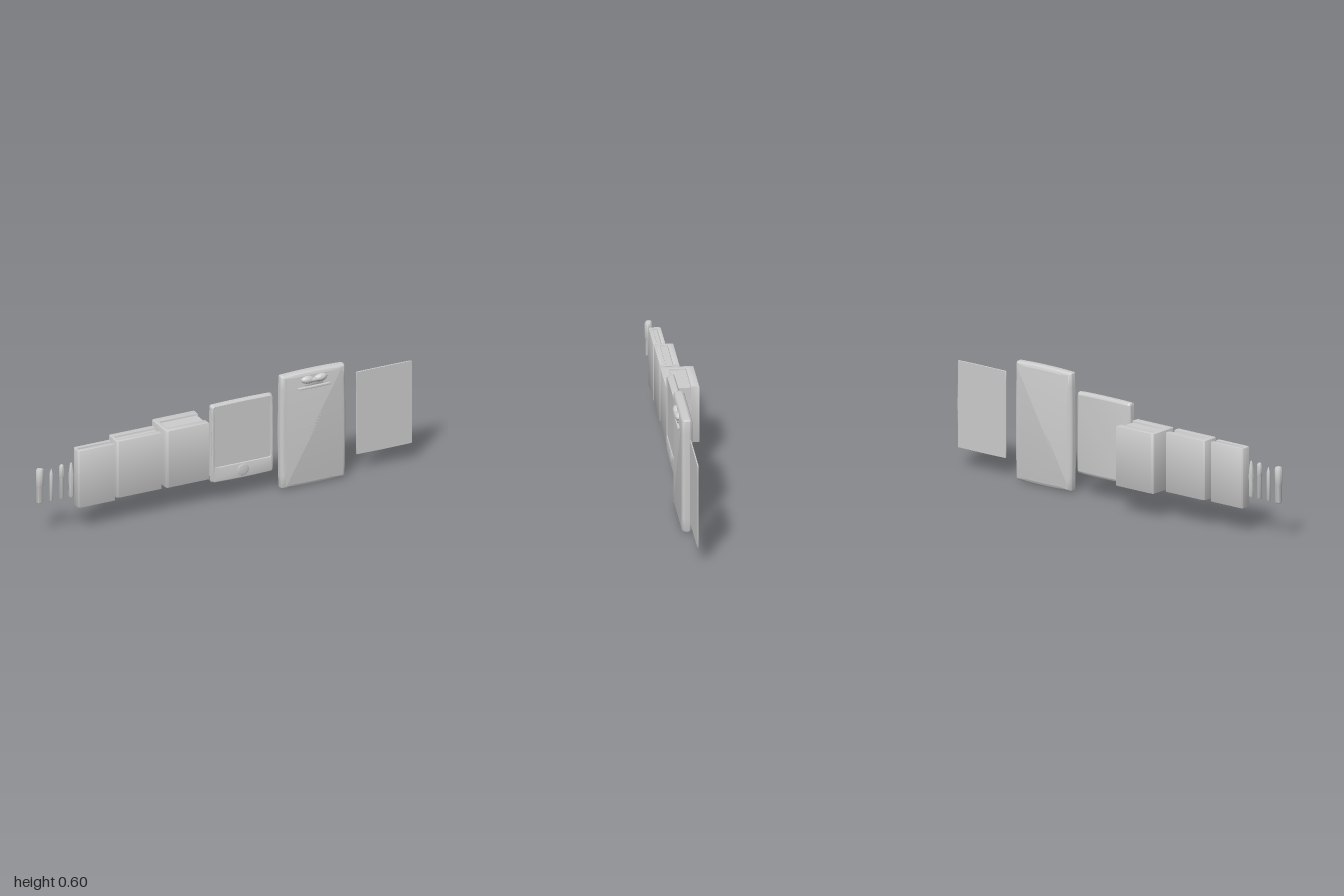
import * as THREE from 'three';
import { toCreasedNormals } from 'three/addons/utils/BufferGeometryUtils.js';

const material = new THREE.MeshStandardMaterial({ color: 0xcccccc, side: THREE.DoubleSide });

function add(group, name, geometry, x = 0, y = 0, z = 0) {
  const mesh = new THREE.Mesh(geometry, material);
  mesh.name = name;
  mesh.position.set(x, y, z);
  group.add(mesh);
  return mesh;
}

// Rectangle with rounded corners and slightly bowed sides
function outline(w, h, r, bow = 0, target = new THREE.Shape()) {
  const a = w / 2, b = h / 2, c = 2 * bow;
  target.moveTo(-a + r, -b);
  target.quadraticCurveTo(0, -b - c, a - r, -b);
  target.quadraticCurveTo(a, -b, a, -b + r);
  target.quadraticCurveTo(a + c, 0, a, b - r);
  target.quadraticCurveTo(a, b, a - r, b);
  target.quadraticCurveTo(0, b + c, -a + r, b);
  target.quadraticCurveTo(-a, b, -a, b - r);
  target.quadraticCurveTo(-a - c, 0, -a, -b + r);
  target.quadraticCurveTo(-a, -b, -a + r, -b);
  return target;
}

// Extrusion centred on z, with overall depth d including its bevel
function extrude(shape, d, bevel, segments = 4, thickness = bevel) {
  const g = new THREE.ExtrudeGeometry(shape, {
    depth: d - 2 * thickness, bevelEnabled: bevel > 0, bevelSize: bevel, bevelOffset: -bevel,
    bevelThickness: thickness, bevelSegments: segments, curveSegments: 10,
  });
  g.translate(0, 0, -d / 2 + thickness);
  return toCreasedNormals(g, 0.7);
}

// Book: U-shaped cover open toward +x around an inset page block
function book(name, x0, x1, y0, y1, z0, z1, t) {
  const group = new THREE.Group();
  group.name = name;
  const w = x1 - x0, h = y1 - y0, d = z1 - z0, a = w / 2, b = d / 2, r = 0.016, i = t * 0.6;
  const s = new THREE.Shape();
  s.moveTo(a, -b);
  s.lineTo(-a + r, -b);
  s.quadraticCurveTo(-a, -b, -a, -b + r);
  s.lineTo(-a, b - r);
  s.quadraticCurveTo(-a, b, -a + r, b);
  s.lineTo(a, b);
  s.lineTo(a, b - t);
  s.lineTo(-a + i, b - t);
  s.lineTo(-a + i, -b + t);
  s.lineTo(a, -b + t);
  s.closePath();
  add(group, 'cover', extrude(s, h, 0.004, 2).rotateX(-Math.PI / 2));
  add(group, 'pages', new THREE.BoxGeometry(w - i - 0.002, h - 0.02, d - 2 * t + 0.002),
    (i - 0.006) / 2, 0, 0);
  group.position.set((x0 + x1) / 2, (y0 + y1) / 2, (z0 + z1) / 2);
  return group;
}

// Pen: lathe profile of [radius, y] with an optional pocket clip
function pen(name, x, profile, clip) {
  const group = new THREE.Group();
  group.name = name;
  const pts = profile.map(([r, y]) => new THREE.Vector2(r, y));
  add(group, 'barrel', toCreasedNormals(new THREE.LatheGeometry(pts, 20), 0.7));
  if (clip) {
    const [r, y, len, size] = clip;
    const arm = extrude(outline(size, len, size * 0.3), size, size * 0.25, 2);
    add(group, 'pocketClip', arm, r, y, 0);
  }
  group.position.set(x, 0.185, 0.04);
  return group;
}

function createModel() {
  const model = new THREE.Group();

  // Writing tools
  model.add(
    pen('marker', -0.982, [[0, 0], [0.012, 0], [0.016, 0.005], [0.017, 0.09], [0.018, 0.092],
      [0.018, 0.17], [0.014, 0.178], [0, 0.18]], [0.015, 0.145, 0.06, 0.01]),
    pen('pencil', -0.92, [[0, 0], [0.007, 0], [0.009, 0.004], [0.009, 0.14], [0.003, 0.162], [0, 0.17]]),
    pen('ballpoint', -0.865, [[0, 0], [0.009, 0], [0.012, 0.005], [0.012, 0.115], [0.013, 0.117],
      [0.012, 0.165], [0.008, 0.176], [0, 0.178]], [0.009, 0.145, 0.05, 0.008]),
    pen('highlighter', -0.814, [[0, 0], [0.01, 0], [0.012, 0.006], [0.011, 0.06], [0.013, 0.1],
      [0.011, 0.135], [0.007, 0.165], [0.004, 0.177], [0, 0.178]], [0.009, 0.11, 0.035, 0.007]),
  );

  // Books, from thin to thick
  model.add(
    book('thinBook', -0.787, -0.593, 0.127, 0.425, 0.005, 0.065, 0.02),
    book('mediumBook', -0.582, -0.345, 0.137, 0.433, -0.03, 0.065, 0.03),
    book('thickBook', -0.32, -0.092, 0.135, 0.433, -0.095, 0.065, 0.04),
  );

  // Tablet reader with raised bezel, screen and button
  const tablet = new THREE.Group();
  tablet.name = 'tablet';
  add(tablet, 'body', extrude(outline(0.33, 0.406, 0.016, 0.002), 0.034, 0.016, 5), 0, 0, -0.003);
  const face = outline(0.322, 0.398, 0.016, 0.002);
  const hole = outline(0.296, 0.314, 0.008, 0, new THREE.Path());
  const frame = new THREE.Shape(face.getPoints(8));
  frame.holes.push(new THREE.Path(hole.getPoints(8).map((p) => p.add(new THREE.Vector2(0, 0.036)))));
  add(tablet, 'bezel', extrude(frame, 0.014, 0.004, 3), 0, 0, 0.012);
  add(tablet, 'screen', new THREE.BoxGeometry(0.298, 0.316, 0.006), 0, 0.036, 0.0125);
  add(tablet, 'button', new THREE.SphereGeometry(0.031, 24, 14).scale(1, 1, 0.16), 0.002, -0.16, 0.018);
  tablet.position.set(0.088, 0.31, 0.045);
  model.add(tablet);

  // Clipboard with a rounded board and its clip
  const clipboard = new THREE.Group();
  clipboard.name = 'clipboard';
  add(clipboard, 'board', extrude(outline(0.344, 0.592, 0.014, 0.004), 0.054, 0.024, 6));
  add(clipboard, 'clipBar', extrude(outline(0.175, 0.012, 0.004), 0.016, 0.004, 2), 0, 0.217, 0.03);
  add(clipboard, 'clipPlate', extrude(outline(0.1, 0.034, 0.01), 0.012, 0.004, 2), 0, 0.242, 0.028);
  for (const side of [-1, 1]) {
    const lobe = new THREE.SphereGeometry(1, 20, 12).scale(0.036, 0.02, 0.02);
    add(clipboard, 'clipLobe', lobe, side * 0.034, 0.257, 0.026).rotation.z = side * 0.1;
  }
  const bridge = new THREE.CylinderGeometry(0.011, 0.011, 0.06, 12).rotateZ(Math.PI / 2);
  add(clipboard, 'clipBridge', bridge, 0, 0.255, 0.034);
  clipboard.position.set(0.461, 0.3, 0.05);
  model.add(clipboard);

  // Paper sheet
  add(model, 'paperSheet', extrude(outline(0.296, 0.432, 0.005, 0.001), 0.006, 0.001, 1), 0.85, 0.311, 0.044);

  return model;
}

export { createModel };
